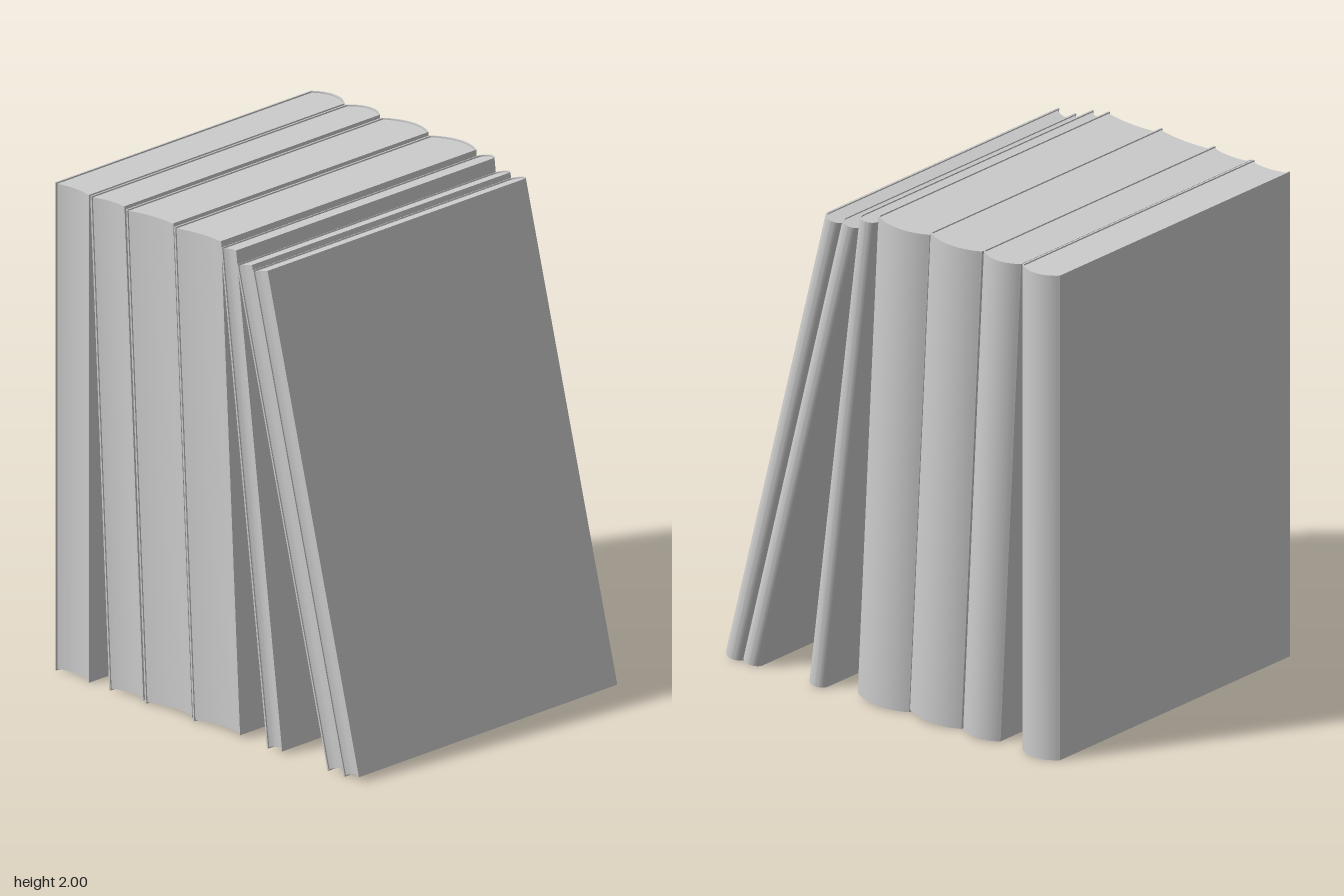
import * as THREE from 'three';
import { toCreasedNormals } from 'three/addons/utils/BufferGeometryUtils.js';

const HEIGHT = 1.988, FORE = -0.7, HINGE = 0.66, BULGE = 0.04, BOARD = 0.007, LIP = 0.006;

// Points of a circular arc bulging towards +x, centred on y = mid, from -half to +half
function arc(x, bulge, mid, half, steps = 20) {
  const r = (half * half + bulge * bulge) / (2 * bulge);
  const sweep = Math.asin(Math.min(1, half / r));
  return Array.from({ length: steps + 1 }, (_, i) => {
    const a = sweep * (2 * i / steps - 1);
    return new THREE.Vector2(x + bulge - r + r * Math.cos(a), mid + r * Math.sin(a));
  });
}

// Extrude a plan outline upwards between two heights
function upright(points, thickness, y0, y1) {
  const geo = new THREE.ExtrudeGeometry(new THREE.Shape(points), { depth: y1 - y0, bevelEnabled: false });
  geo.rotateX(-Math.PI / 2).translate(0, y0, thickness);
  return toCreasedNormals(geo, 0.5);
}

function makeBook(thickness) {
  const book = new THREE.Group();
  const material = new THREE.MeshStandardMaterial({ color: 0xcccccc });
  const mid = thickness / 2, inner = mid - BOARD;
  const outerSpine = arc(HINGE, BULGE, mid, mid);
  const innerSpine = arc(HINGE, BULGE - BOARD, mid, inner);
  const V = (x, y) => new THREE.Vector2(x, y);

  // Cover: two boards joined by a rounded spine
  const coverOutline = [
    V(FORE, 0), ...outerSpine, V(FORE, thickness),
    V(FORE, thickness - BOARD), ...[...innerSpine].reverse(), V(FORE, BOARD),
  ];
  const cover = new THREE.Mesh(upright(coverOutline, thickness, 0, HEIGHT), material);
  cover.name = 'cover';

  // Page block: rounded at the spine, hollow at the fore edge
  const foreEdge = arc(FORE + 0.006, 0.014, mid, inner).reverse();
  const pages = new THREE.Mesh(upright([...innerSpine, ...foreEdge], thickness, LIP, HEIGHT - LIP), material);
  pages.name = 'pages';

  book.add(cover, pages);
  return book;
}

export function createModel() {
  const model = new THREE.Group();
  model.name = 'rowOfBooks';

  // z of the rear bottom edge, thickness, backward lean in degrees
  const books = [
    [0.74, 0.085, 14.4],
    [0.652, 0.085, 14.3],
    [0.325, 0.083, 7.2],
    [-0.075, 0.255, 2.95],
    [-0.334, 0.255, 2.95],
    [-0.528, 0.185, 2.95],
    [-0.822, 0.185, 0],
  ];
  books.forEach(([z, thickness, lean], i) => {
    const book = makeBook(thickness);
    book.name = `book${i + 1}`;
    book.position.z = z;
    book.rotation.x = -THREE.MathUtils.degToRad(lean);
    model.add(book);
  });
  return model;
}
